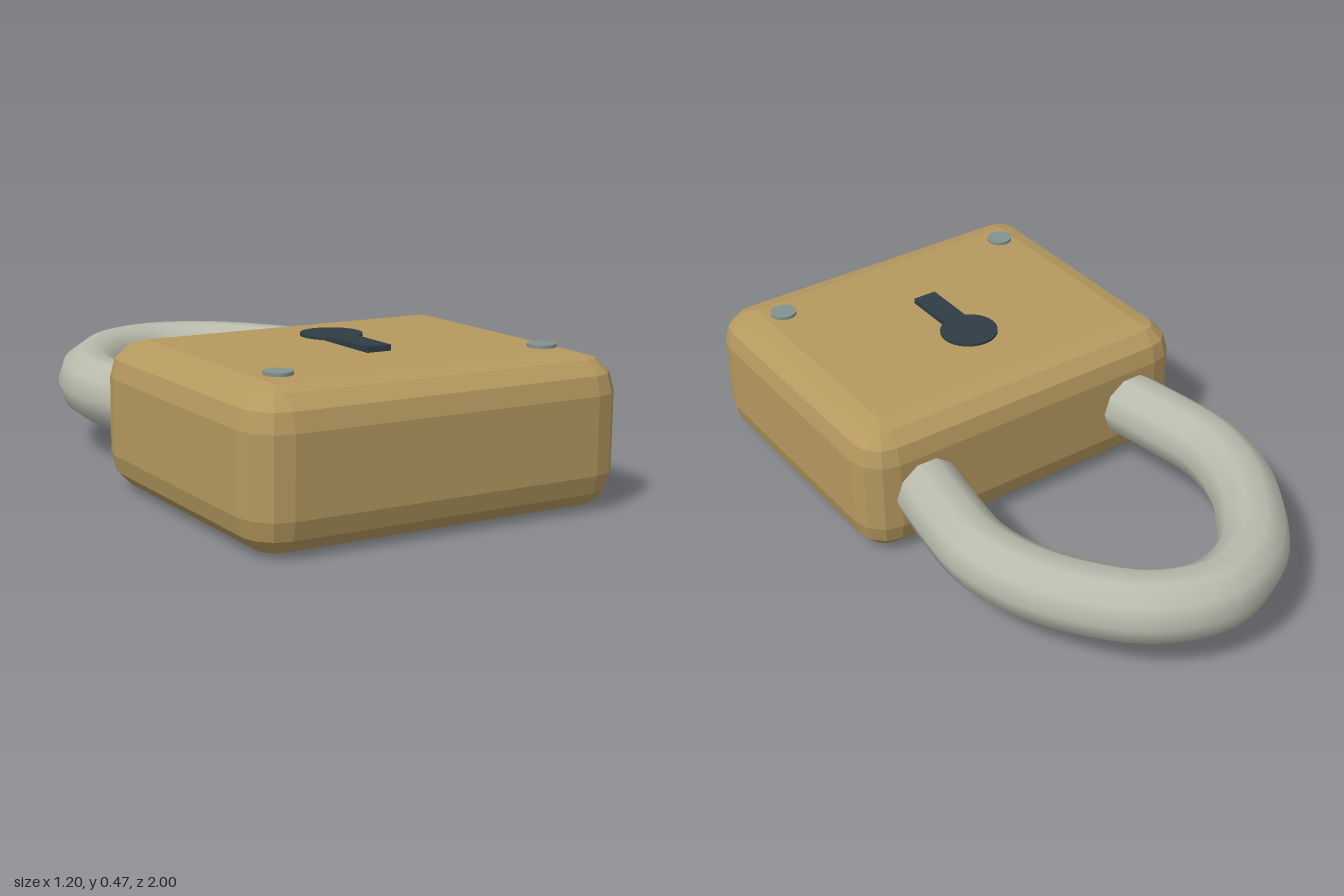
import * as THREE from 'three';
import { ConvexGeometry } from 'three/addons/geometries/ConvexGeometry.js';

const material = (name, color, flatShading = false) => {
  const m = new THREE.MeshStandardMaterial({ color, flatShading });
  m.name = name;
  return m;
};

// Box with faceted rounded edges: the hull of eight corner octants
function facetedBox(w, h, d, r, steps) {
  const points = [];
  for (const sx of [-1, 1]) for (const sy of [-1, 1]) for (const sz of [-1, 1]) {
    for (let i = 0; i <= steps; i++) {
      const lat = (i / steps) * Math.PI / 2;
      const count = i === steps ? 0 : steps;
      for (let j = 0; j <= count; j++) {
        const lon = (j / steps) * Math.PI / 2;
        points.push(new THREE.Vector3(
          sx * (w / 2 - r + r * Math.cos(lat) * Math.cos(lon)),
          sy * (h / 2 - r + r * Math.sin(lat)),
          sz * (d / 2 - r + r * Math.cos(lat) * Math.sin(lon))));
      }
    }
  }
  return new ConvexGeometry(points);
}

// Smooth ten-sided bar following a mirrored arch
function shackleGeometry() {
  const half = [[0.38, 0.1], [0.397, 0], [0.425, -0.17], [0.442, -0.35],
    [0.4, -0.53], [0.312, -0.69], [0.18, -0.83]];
  const mirrored = half.map(([x, z]) => [-x, z]).reverse();
  const path = new THREE.CatmullRomCurve3(
    [...half, [0, -0.892], ...mirrored].map(([x, z]) => new THREE.Vector3(x, 0, z)));
  // Turn the cross-section a quarter so a corner lies on the outer rim
  const frames = path.computeFrenetFrames.bind(path);
  path.computeFrenetFrames = (n, closed) => {
    const f = frames(n, closed);
    return { tangents: f.tangents, normals: f.binormals, binormals: f.normals.map((v) => v.clone().negate()) };
  };
  return new THREE.TubeGeometry(path, 48, 0.108, 10, false);
}

export function createModel() {
  const brass = material('brass', 0xb5995f, true);
  const steel = material('steel', 0xb9bbad);
  const dark = material('dark iron', 0x2f3d45);
  const rivetMetal = material('rivet metal', 0x82928f);

  const group = new THREE.Group();
  group.name = 'padlock';
  const add = (name, geometry, mat, x, y, z) => {
    const mesh = new THREE.Mesh(geometry, mat);
    mesh.name = name;
    mesh.position.set(x, y, z);
    group.add(mesh);
    return mesh;
  };

  add('body', facetedBox(1.2, 0.45, 1, 0.11, 3), brass, 0, 0.225, 0.5);
  add('shackle', shackleGeometry(), steel, 0, 0.2125, 0);

  // Keyhole: round top and straight slot
  add('keyholeRound', new THREE.CylinderGeometry(0.093, 0.093, 0.008, 32), dark, 0, 0.463, 0.355);
  add('keyholeSlot', new THREE.BoxGeometry(0.08, 0.018, 0.245), dark, 0, 0.4585, 0.4975);

  // Rivets on the lower corners of the face
  for (const side of [-1, 1]) {
    add(side > 0 ? 'leftRivet' : 'rightRivet',
      new THREE.CylinderGeometry(0.042, 0.042, 0.01, 20), rivetMetal, side * 0.432, 0.462, 0.805);
  }
  return group;
}
